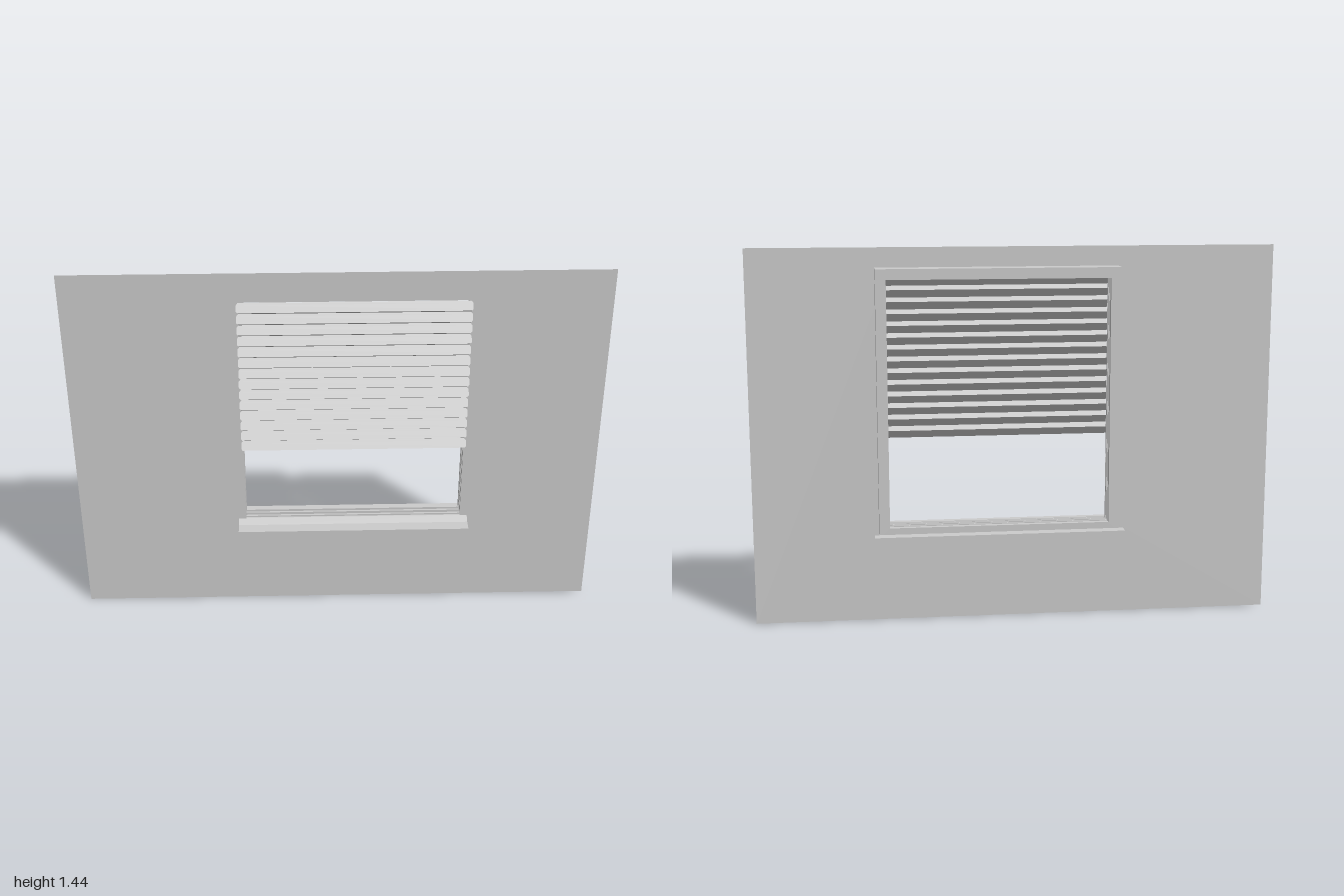
import * as THREE from 'three';

const CX = 0.0625; // window centre line
const Y0 = 0.385, Y1 = 1.325; // clear opening
const HALF = 0.42;

const grey = new THREE.MeshStandardMaterial({ color: 0xcccccc, flatShading: true });
const sheet = new THREE.MeshStandardMaterial({ color: 0xcccccc, flatShading: true, side: THREE.DoubleSide });

function add(parent, name, geometry, material = grey) {
  const mesh = new THREE.Mesh(geometry, material);
  mesh.name = name;
  parent.add(mesh);
  return mesh;
}

function rect(Type, x0, y0, x1, y1) {
  const s = new Type();
  s.moveTo(x0, y0);
  s.lineTo(x1, y0);
  s.lineTo(x1, y1);
  s.lineTo(x0, y1);
  s.closePath();
  return s;
}

// Rectangle with the window opening cut out, widened by grow
function withOpening(x0, y0, x1, y1, grow = 0) {
  const s = rect(THREE.Shape, x0, y0, x1, y1);
  s.holes.push(rect(THREE.Path, CX - HALF - grow, Y0 - grow, CX + HALF + grow, Y1 + grow));
  return s;
}

// Sheet through cross-section rows [y, z, half width]
function strip(rows) {
  const pos = [], idx = [];
  rows.forEach(([y, z, w], i) => {
    pos.push(CX - w, y, z, CX + w, y, z);
    if (i) {
      const a = 2 * i - 2;
      idx.push(a, a + 2, a + 3, a, a + 3, a + 1);
    }
  });
  const g = new THREE.BufferGeometry();
  g.setAttribute('position', new THREE.Float32BufferAttribute(pos, 3));
  g.setIndex(idx);
  const flat = g.toNonIndexed();
  flat.computeVertexNormals();
  return flat;
}

// Profile in (z, y) extruded along x
function bar(points, x0, x1) {
  const shape = new THREE.Shape(points.map(([z, y]) => new THREE.Vector2(-z, y)));
  const g = new THREE.ExtrudeGeometry(shape, { depth: x1 - x0, bevelEnabled: false });
  g.rotateY(Math.PI / 2);
  g.translate(x0, 0, 0);
  return g;
}

export function createModel() {
  const model = new THREE.Group();
  model.name = 'windowWall';

  // Thin wall panel
  add(model, 'wall', new THREE.ShapeGeometry(withOpening(-1, 0, 1, 1.44)), sheet).position.z = 0.0235;

  // Frame in layers; the wider layers form the tracks around the opening
  const frame = new THREE.Group();
  frame.name = 'windowFrame';
  model.add(frame);
  const layers = [
    [-0.057, -0.037, 0], [-0.037, -0.025, 0.012], [-0.025, -0.017, 0],
    [-0.017, -0.003, 0.012], [-0.003, 0.005, 0], [0.005, 0.014, 0.008], [0.014, 0.022, 0],
  ];
  layers.forEach(([z0, z1, grow], i) => {
    const shape = withOpening(CX - 0.46, 0.345, CX + 0.46, 1.365, grow);
    const g = new THREE.ExtrudeGeometry(shape, { depth: z1 - z0, bevelEnabled: false });
    add(frame, `frameLayer${i + 1}`, g).position.z = z0;
  });

  // Front sill with a sloped back edge
  add(model, 'frontSill', bar(
    [[0.022, 0.363], [0.099, 0.363], [0.099, 0.374], [0.052, 0.374], [0.022, 0.387]],
    CX - 0.448, CX + 0.448));

  // Back sill
  add(model, 'backSill', bar(
    [[-0.1, 0.345], [-0.057, 0.345], [-0.057, 0.36], [-0.1, 0.36]],
    CX - 0.478, CX + 0.478));

  // Pleated blind: sloping slats with clipped corners, joined by narrower returns
  const blind = new THREE.Group();
  blind.name = 'blind';
  model.add(blind);
  const count = 14, pitch = 0.0446, drop = 0.03, back = 0.025, front = 0.048;
  for (let i = 0; i < count; i++) {
    const top = Y1 - i * pitch;
    const bottom = top - drop;
    const at = (t, w) => [top - drop * t, back + (front - back) * t, w];
    add(blind, `slat${i + 1}`, strip([at(0, 0.42), at(0.25, 0.427), at(0.85, 0.427), at(1, 0.422)]), sheet);
    if (i < count - 1) {
      add(blind, `slatReturn${i + 1}`, strip([[bottom, front, 0.422], [top - pitch, back, 0.42]]), sheet);
    }
  }
  return model;
}
